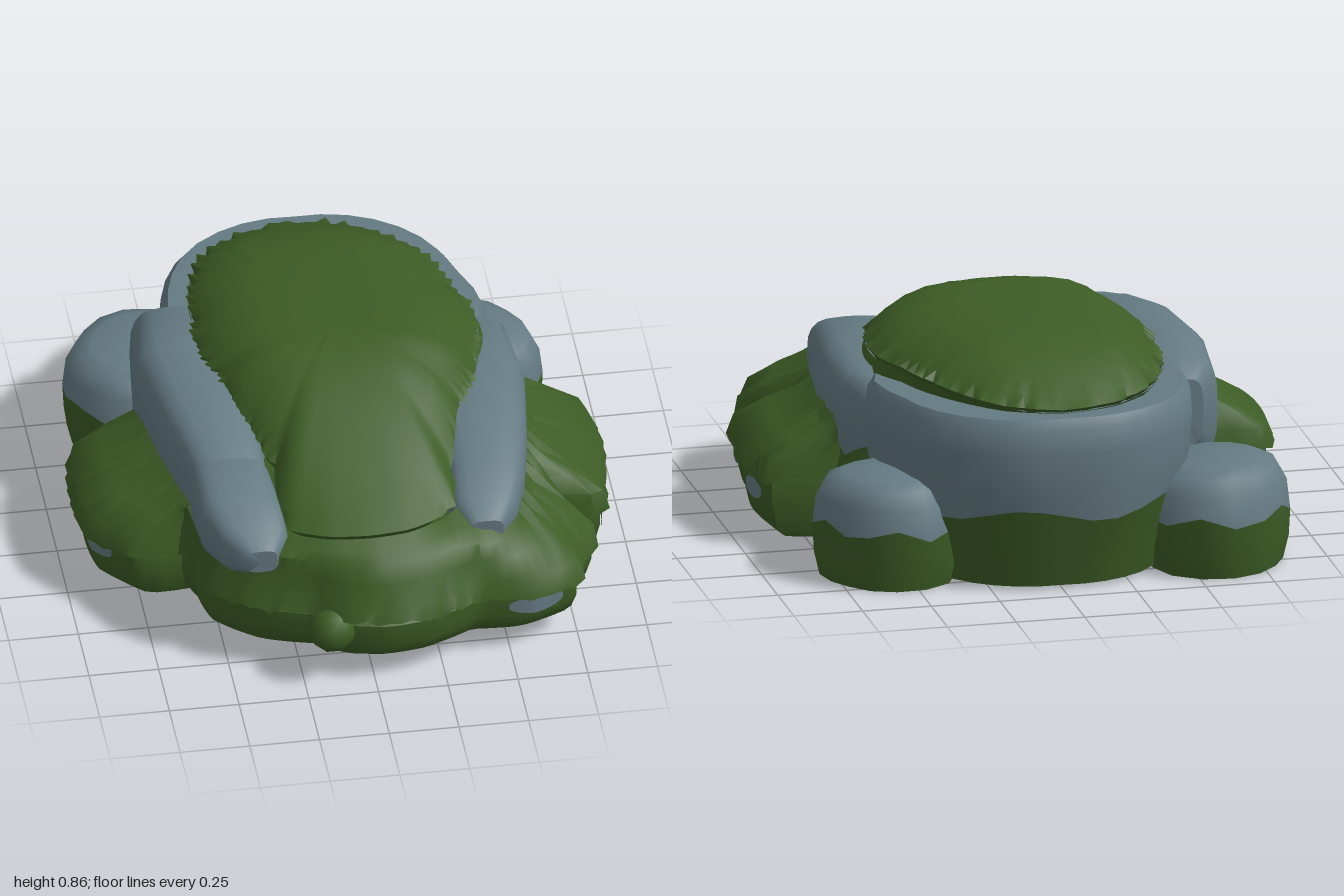
import * as THREE from 'three';
import { toCreasedNormals } from 'three/addons/utils/BufferGeometryUtils.js';

const TAU = Math.PI * 2;
const CZ = -0.05; // centre of the mound's rings
const lerp = THREE.MathUtils.lerp;

// piecewise linear table lookup: [[key, value], ...]
function table(rows, t) {
  if (t <= rows[0][0]) return rows[0][1];
  for (let i = 1; i < rows.length; i++) {
    const [a, va] = rows[i - 1], [b, vb] = rows[i];
    if (t <= b) return lerp(va, vb, (t - a) / (b - a));
  }
  return rows[rows.length - 1][1];
}

// turns an outline [[x, z], ...] into a radius by angle around (cx, cz)
function polar(pts, cx = 0, cz = CZ) {
  const rows = pts.map(([x, z]) => [(Math.atan2(x - cx, z - cz) + TAU) % TAU, Math.hypot(x - cx, z - cz)]);
  rows.sort((a, b) => a[0] - b[0]);
  const first = rows[0], last = rows[rows.length - 1];
  const full = [[last[0] - TAU, last[1]], ...rows, [first[0] + TAU, first[1]]];
  return (a) => table(full, ((a % TAU) + TAU) % TAU);
}

// skins closed rings of equal length, ordered bottom to top
function loft(rings, crease = 0.75) {
  const n = rings[0].length, pos = [], index = [];
  rings.forEach((r) => r.forEach((p) => pos.push(...p)));
  for (let k = 0; k < rings.length - 1; k++) {
    for (let i = 0; i < n; i++) {
      const j = (i + 1) % n, a = k * n + i, b = k * n + j;
      index.push(a, b, b + n, a, b + n, a + n);
    }
  }
  const g = new THREE.BufferGeometry();
  g.setAttribute('position', new THREE.Float32BufferAttribute(pos, 3));
  g.setIndex(index);
  return toCreasedNormals(g, crease);
}

// ring of n points from radius and height rules
function ring(n, radius, height, cx = 0, cz = CZ) {
  return Array.from({ length: n }, (_, i) => {
    const a = (i / n) * TAU, r = radius(a, i);
    const x = cx + r * Math.sin(a), z = cz + r * Math.cos(a);
    return [x, height(x, z, i, a), z];
  });
}

// ragged grass edge, -1..1
const jag = (i) => {
  const s = Math.sin(i * 12.9898 + 4.1) * 43758.5453;
  return (s - Math.floor(s)) * 1.2 - 0.6 + (i % 2 ? 0.4 : -0.4);
};

const skirtOutline = polar([[0.05, 0.99], [0.2, 0.97], [0.4, 0.87], [0.6, 0.88], [0.77, 0.8], [0.79, 0.68], [0.87, 0.56],
  [0.78, 0.46], [0.75, 0.38], [0.92, 0.4], [0.93, 0.25], [0.96, 0.05], [0.92, -0.2], [0.67, -0.24], [0.5, -0.5],
  [0, -0.75], [-0.5, -0.5], [-0.7, -0.25], [-0.93, -0.22], [-0.96, 0], [-0.94, 0.25], [-0.8, 0.42], [-0.63, 0.41],
  [-0.6, 0.5], [-0.57, 0.66], [-0.42, 0.8], [-0.22, 0.87], [-0.1, 0.96]]);
const shoulderOutline = polar([[0, 0.9], [0.3, 0.82], [0.5, 0.76], [0.6, 0.6], [0.65, 0.38], [0.7, 0.1], [0.68, -0.18],
  [0.45, -0.45], [0, -0.7], [-0.45, -0.45], [-0.7, -0.2], [-0.7, 0.05], [-0.63, 0.3], [-0.57, 0.48], [-0.53, 0.62],
  [-0.4, 0.74], [-0.2, 0.83]]);
const capOutline = polar([[0, 0.8], [0.15, 0.78], [0.33, 0.66], [0.34, 0.5], [0.42, 0.25], [0.5, 0], [0.52, -0.3],
  [0.47, -0.42], [0.36, -0.68], [0.2, -0.85], [0, -0.92], [-0.2, -0.88], [-0.34, -0.78], [-0.43, -0.6], [-0.46, -0.35],
  [-0.42, 0], [-0.36, 0.25], [-0.28, 0.42], [-0.29, 0.7], [-0.15, 0.78]]);
const ridge = (z) => table([[-0.92, 0.68], [-0.75, 0.775], [-0.6, 0.84], [-0.3, 0.855], [0.05, 0.86], [0.2, 0.82],
  [0.4, 0.735], [0.6, 0.64], [0.8, 0.55]], z);
const capEdge = (z) => table([[-0.92, 0.67], [-0.6, 0.71], [0, 0.71], [0.25, 0.66], [0.5, 0.58], [0.7, 0.53], [0.8, 0.545]], z);
const floorY = (z) => 0.045 + 0.05 * z;

export function createModel() {
  const model = new THREE.Group();
  const moss = new THREE.MeshStandardMaterial({ color: 0x3c5c25, side: THREE.DoubleSide });
  moss.name = 'moss green';
  const stone = new THREE.MeshStandardMaterial({ color: 0x647a82, side: THREE.DoubleSide });
  stone.name = 'stone grey';
  const add = (name, geometry, material) => {
    const m = new THREE.Mesh(geometry, material);
    m.name = name;
    model.add(m);
    return m;
  };
  const N = 160;

  // lower mound with a flat underside
  const baseRadius = (a) => skirtOutline(a) * 0.965;
  add('mound base', loft([
    ring(N, () => 0, (x, z) => floorY(z)),
    ring(N, (a) => skirtOutline(a) * 0.91, (x, z) => floorY(z)),
    ring(N, (a) => skirtOutline(a) * 0.945, (x, z) => floorY(z) + 0.03),
    ring(N, baseRadius, () => 0.17),
    ring(N, baseRadius, () => 0.25),
    ring(N, (a) => skirtOutline(a) * 0.9, () => 0.31),
  ]), moss);

  // moss skirt hanging over the base with a ragged hem
  const sideOnly = (x) => THREE.MathUtils.smoothstep(Math.abs(x), 0.3, 0.5);
  add('moss skirt', loft([
    ring(N, (a) => skirtOutline(a) * 0.9, () => 0.29),
    ring(N, (a, i) => skirtOutline(a) * (0.997 + 0.01 * jag(i)), (x, z, i) => 0.285 - 0.045 * Math.abs(x) + 0.022 * jag(i)),
    ring(N, (a) => skirtOutline(a) * 0.975, (x) => 0.335 - 0.01 * Math.abs(x)),
    ring(N, (a) => lerp(skirtOutline(a) * 0.95, shoulderOutline(a), 0.4), (x) => 0.41 - 0.02 * Math.abs(x)),
    ring(N, shoulderOutline, (x, z, i) => 0.475 - 0.03 * sideOnly(x) + 0.022 * jag(i) * sideOnly(x)),
    ring(N, (a) => lerp(shoulderOutline(a), capOutline(a), 0.5), (x, z) => lerp(0.465, capEdge(z), 0.5)),
    ring(N, capOutline, (x, z) => capEdge(z) - 0.012),
  ], 0.9), moss);

  // domed moss cap with a ragged rim
  const rough = (a) => (Math.cos(a) > 0.93 ? 0 : 1);
  const capRing = (s) => ring(N, (a) => capOutline(a) * s, (x, z, i, a) => {
    const ze = CZ + capOutline(a) * Math.cos(a);
    return ridge(z) - (ridge(ze) - capEdge(ze)) * s ** 4;
  });
  add('moss cap', loft([
    ring(N, (a) => capOutline(a) * 0.95, (x, z) => capEdge(z) - 0.04),
    ring(N, (a, i) => capOutline(a) * (1 + 0.028 * jag(i) * rough(a)), (x, z, i, a) => capEdge(z) + 0.01 * jag(i) * rough(a)),
    ...[0.94, 0.86, 0.75, 0.6, 0.45, 0.3, 0.15, 0].map(capRing),
  ], 0.9), moss);

  // long side boulders: stations [z, x inner, x outer, y bottom, y top]
  function sideBoulder(name, side, stations) {
    const section = ([z, xi, xo, yb, yt], shrink = 1) => Array.from({ length: 20 }, (_, i) => {
      const a = (i / 20) * TAU, c = Math.cos(a), s = Math.sin(a), e = 0.6;
      return [side * (xi + xo) / 2 + Math.sign(c) * Math.abs(c) ** e * (xo - xi) / 2 * shrink,
        (yb + yt) / 2 + Math.sign(s) * Math.abs(s) ** e * (yt - yb) / 2 * shrink, z];
    });
    const last = stations[stations.length - 1];
    add(name, loft([section(stations[0], 0), ...stations.map((s) => section(s)), section(last, 0)]), stone);
  }
  sideBoulder('left side boulder', 1, [[-0.36, 0.42, 0.57, 0.35, 0.61], [-0.26, 0.36, 0.66, 0.3, 0.67],
    [0, 0.32, 0.68, 0.3, 0.69], [0.3, 0.3, 0.64, 0.32, 0.68], [0.5, 0.32, 0.6, 0.35, 0.615],
    [0.65, 0.32, 0.55, 0.38, 0.565], [0.73, 0.37, 0.49, 0.42, 0.51]]);
  sideBoulder('right side boulder', -1, [[-0.54, 0.46, 0.6, 0.38, 0.63], [-0.46, 0.38, 0.67, 0.3, 0.69],
    [-0.2, 0.35, 0.7, 0.3, 0.715], [0.1, 0.32, 0.66, 0.3, 0.72], [0.35, 0.3, 0.6, 0.32, 0.68], [0.5, 0.32, 0.55, 0.38, 0.61]]);
  sideBoulder('right front boulder', -1, [[0.34, 0.36, 0.54, 0.4, 0.63], [0.43, 0.3, 0.59, 0.35, 0.655],
    [0.6, 0.28, 0.575, 0.36, 0.61], [0.72, 0.28, 0.52, 0.38, 0.565], [0.79, 0.33, 0.44, 0.42, 0.51]]);

  // upright rocks, mossy below a wavy line; layers are [scale, y]
  function rock(name, n, cx, cz, outline, line, lower, upper) {
    const f = polar(outline, cx, cz);
    const layer = ([s, y]) => ring(n, (a) => f(a) * s, () => y, cx, cz);
    const border = ring(n, (a) => f(a) * line[0], (x, z, i, a) => line[1] + 0.025 * Math.sin(a * 5 + cx * 9), cx, cz);
    add(name + ' mossy foot', loft([layer([0, lower[0][1]]), ...lower.map(layer), border]), moss);
    add(name, loft([border, ...upper.map(layer), layer([0, upper[upper.length - 1][1] + 0.01])]), stone);
  }
  rock('back rock', 32, 0, -0.5,
    [[0, -1], [0.25, -0.96], [0.42, -0.84], [0.54, -0.6], [0.6, -0.36], [0.5, -0.15], [0, -0.1], [-0.5, -0.2],
      [-0.56, -0.45], [-0.54, -0.62], [-0.43, -0.85], [-0.25, -0.97]],
    [0.94, 0.29], [[0.8, 0.015], [0.86, 0.13]], [[0.975, 0.38], [1, 0.53], [0.985, 0.62], [0.94, 0.655]]);
  const footLower = [[0.9, 0.003], [0.98, 0.09]], footUpper = [[0.95, 0.3], [0.82, 0.36], [0.6, 0.385]];
  rock('left back rock', 14, 0.58, -0.59,
    [[0.37, -0.79], [0.57, -0.84], [0.76, -0.7], [0.82, -0.5], [0.65, -0.35], [0.4, -0.38]],
    [1, 0.21], footLower, footUpper);
  rock('right back rock', 14, -0.62, -0.68,
    [[-0.4, -0.88], [-0.61, -0.96], [-0.81, -0.84], [-0.87, -0.6], [-0.7, -0.43], [-0.42, -0.5]],
    [1, 0.21], footLower, footUpper);

  // bare stone patches showing through the base: [x, z, half angle, y]
  [[0.6, 0.85, 0.09, 0.215], [0.91, 0.32, 0.07, 0.2], [0.95, -0.05, 0.08, 0.185], [-0.92, 0.27, 0.08, 0.215],
    [-0.95, -0.06, 0.07, 0.2]].forEach(([x, z, half, y]) => {
    const mid = Math.atan2(x, z - CZ);
    const g = new THREE.PlaneGeometry(2, 2, 16, 2), p = g.attributes.position;
    for (let i = 0; i < p.count; i++) {
      const u = p.getX(i), a = mid + u * half, r = baseRadius(a) + 0.008;
      const tall = 0.036 * Math.sqrt(Math.max(0, 1 - u * u * 0.9));
      p.setXYZ(i, r * Math.sin(a), y + p.getY(i) * tall, CZ + r * Math.cos(a));
    }
    g.computeVertexNormals();
    add('stone patch', g, stone);
  });

  // small mossy pebble at the front
  const pebble = add('front pebble', new THREE.IcosahedronGeometry(0.085, 1), moss);
  pebble.position.set(-0.15, 0.225, 0.9);

  return model;
}
